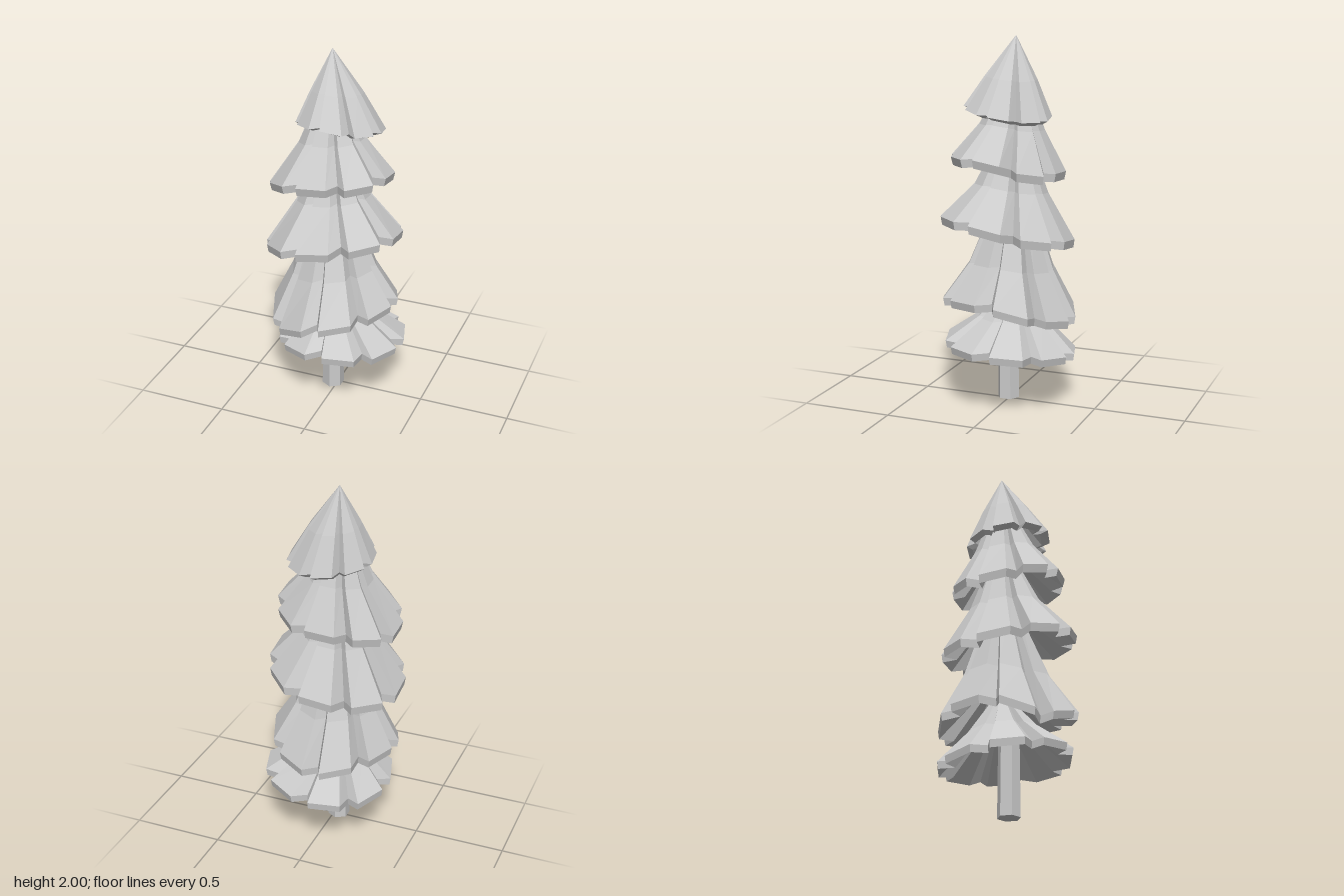
import * as THREE from 'three';

const LOBES = 8;

// Foliage tiers, bottom to top. Radii (x, z) belong to the lobe corners; rim lists
// the drooping rim height at each 45 degrees, from +x round through +z. lip is the
// inset and drop of the rim's lower edge.
const TIERS = [
  { centre: [0.02, -0.02], radius: [0.36, 0.362], apex: [0.05, 0.64], mid: [0.19, 0.47], turn: 0.49,
    lip: [0.007, 0.04], rim: [0.35, 0.35, 0.37, 0.34, 0.31, 0.28, 0.3, 0.33] },
  { centre: [-0.013, 0.005], radius: [0.352, 0.373], apex: [0.1, 1.12], mid: [0.235, 0.76], turn: 0.41,
    lip: [0.007, 0.042], rim: [0.61, 0.6, 0.55, 0.46, 0.55, 0.54, 0.48, 0.53] },
  { centre: [-0.015, 0.014], radius: [0.372, 0.364], apex: [0.06, 1.5], mid: [0.2, 1.18], turn: -0.03,
    lip: [0.007, 0.045], rim: [1.03, 1.05, 1.01, 0.95, 0.88, 0.88, 0.92, 0.95] },
  { centre: [-0.03, 0.013], radius: [0.338, 0.307], apex: [0.04, 1.82], mid: [0.177, 1.51], turn: 0,
    lip: [0.01, 0.045], rim: [1.38, 1.36, 1.36, 1.31, 1.22, 1.25, 1.29, 1.28] },
  { centre: [0.015, 0], radius: [0.235, 0.235], apex: [0, 2], mid: [0.138, 1.78], turn: -0.14,
    lip: [0.04, 0.02], rim: [1.59, 1.61, 1.65, 1.63, 1.6, 1.59, 1.56, 1.56] },
];
const AXIS = [-0.04, -0.025];

// Rim height at any angle, blended between the listed heights
function rimHeight(rim, angle) {
  const t = ((angle / (Math.PI * 2)) * rim.length + rim.length) % rim.length;
  const i = Math.floor(t);
  return THREE.MathUtils.lerp(rim[i], rim[(i + 1) % rim.length], t - i);
}

// Pleated skirt: outer slope, thick rim and hollow underside
function tierGeometry({ centre, radius, apex, mid, turn, lip, rim }) {
  const mean = rim.reduce((a, b) => a + b) / rim.length;
  const [rx, rz] = radius;
  // [x radius, z radius, height, share of the rim droop]
  const rings = [
    [apex[0], apex[0], apex[1], 0],
    [mid[0], mid[0], mid[1], 0.4],
    [rx, rz, mean, 1],
    [rx - lip[0], rz - lip[0], mean - lip[1], 1],
    [0.045, 0.045, mean + 0.22, 0.2],
  ];
  // Each lobe is a flat panel between two corners, then a notch with a steep wall
  const outline = [];
  for (let i = 0; i < LOBES; i++) {
    for (const [step, scale] of [[-0.315, 1], [0.315, 1], [0.42, 0.8]]) {
      outline.push([((i + step) / LOBES) * Math.PI * 2 + turn, scale]);
    }
  }
  const n = outline.length;
  const positions = [];
  const index = [];
  rings.forEach(([ax, az, y, droop], k) => {
    const lean = ax / rx;
    const cx = THREE.MathUtils.lerp(AXIS[0], centre[0], lean);
    const cz = THREE.MathUtils.lerp(AXIS[1], centre[1], lean);
    outline.forEach(([a, s], j) => {
      positions.push(
        cx + Math.cos(a) * ax * s,
        y + droop * (rimHeight(rim, a) - mean),
        cz + Math.sin(a) * az * s
      );
      if (k < rings.length - 1) {
        const p = k * n + j;
        const q = k * n + ((j + 1) % n);
        if (ax > 0) index.push(p, q, q + n);
        index.push(p, q + n, p + n);
      }
    });
  });
  const g = new THREE.BufferGeometry();
  g.setAttribute('position', new THREE.Float32BufferAttribute(positions, 3));
  g.setIndex(index);
  const flat = g.toNonIndexed();
  flat.computeVertexNormals();
  return flat;
}

export function createModel() {
  const tree = new THREE.Group();
  tree.name = 'pineTree';
  const material = new THREE.MeshStandardMaterial({
    color: 0xcccccc, flatShading: true, side: THREE.DoubleSide,
  });

  // Hexagonal trunk
  const trunk = new THREE.Mesh(new THREE.CylinderGeometry(0.056, 0.062, 0.6, 6), material);
  trunk.name = 'trunk';
  trunk.position.set(-0.025, 0.3, 0.012);
  tree.add(trunk);

  // Stacked foliage
  TIERS.forEach((tier, i) => {
    const mesh = new THREE.Mesh(tierGeometry(tier), material);
    mesh.name = `foliageTier${i + 1}`;
    tree.add(mesh);
  });
  return tree;
}
